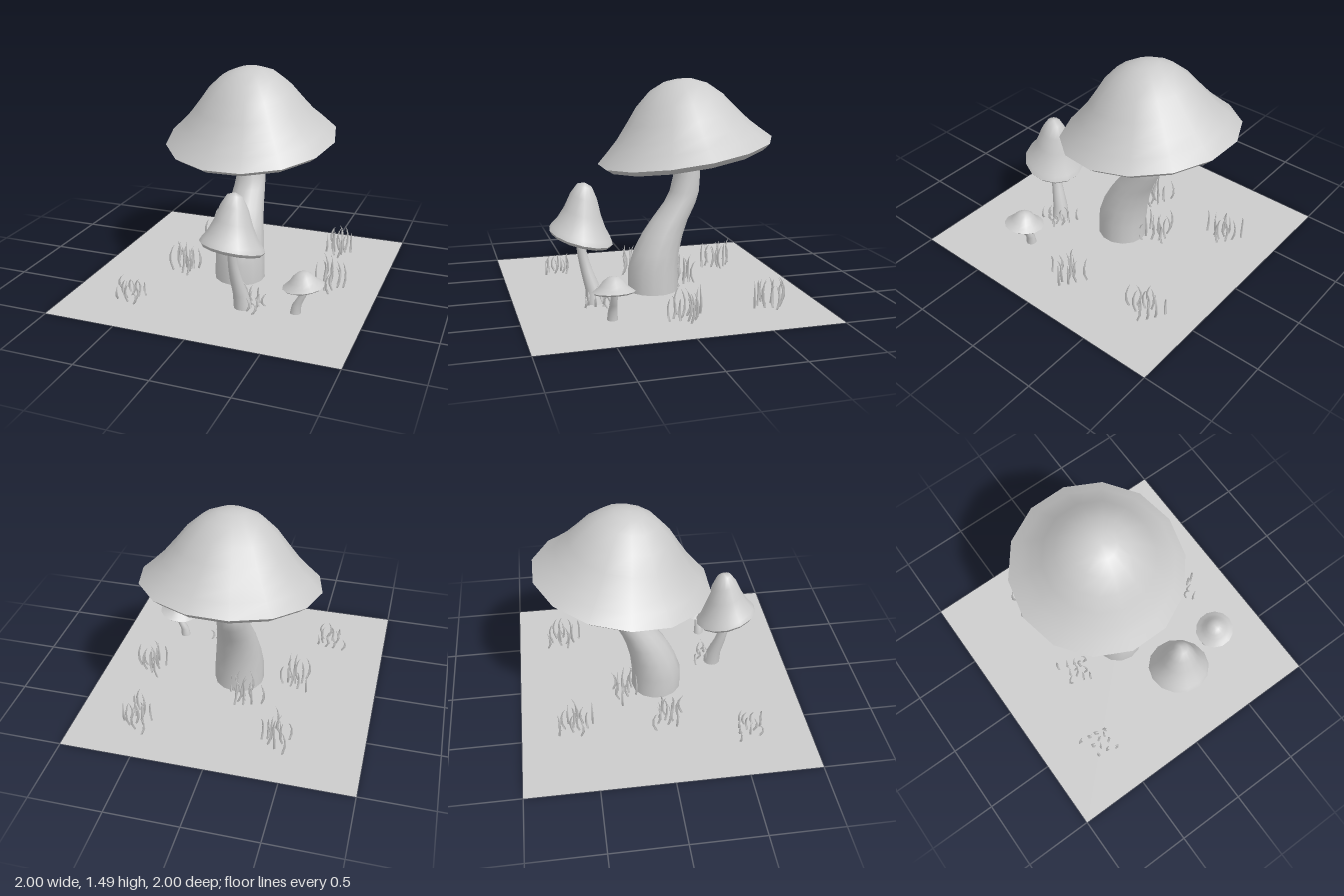
import * as THREE from 'three';
import { mergeVertices, mergeGeometries } from 'three/addons/utils/BufferGeometryUtils.js';

const grey = new THREE.MeshStandardMaterial({ color: 0xcccccc });
const greyDouble = new THREE.MeshStandardMaterial({ color: 0xcccccc, side: THREE.DoubleSide });

// Skin over horizontal rings [x, y, z, radius], listed from bottom to top
function loft(rings, sides, phase = 0) {
  const pos = [], idx = [];
  rings.forEach(([x, y, z, r], k) => {
    for (let i = 0; i < sides; i++) {
      const a = phase + (i / sides) * Math.PI * 2;
      pos.push(x + r * Math.sin(a), y, z + r * Math.cos(a));
      if (k === 0) continue;
      const j = (i + 1) % sides, lo = (k - 1) * sides, hi = k * sides;
      idx.push(lo + i, lo + j, hi + j, lo + i, hi + j, hi + i);
    }
  });
  const geo = new THREE.BufferGeometry();
  geo.setAttribute('position', new THREE.Float32BufferAttribute(pos, 3));
  geo.setIndex(idx);
  return geo;
}

function mesh(name, geo, material = grey) {
  const m = new THREE.Mesh(geo, material);
  m.name = name;
  return m;
}

// Cap surface from a [radius, height] profile, with a tilted rim and a leaning axis
function capSurface(profile, { center, slope, lean, phase }) {
  const flat = loft(profile.map(([r, h]) => [0, h, 0, r]), 14, phase);
  const p = flat.attributes.position;
  for (let i = 0; i < p.count; i++) {
    const x = p.getX(i), h = p.getY(i), z = p.getZ(i);
    p.setXYZ(i, center[0] + x + lean[0] * h,
      center[1] + h + slope[0] * x + slope[1] * z,
      center[2] + z + lean[1] * h);
  }
  const geo = mergeVertices(flat);
  geo.computeVertexNormals();
  return geo;
}

function mushroom(name, { stem, top, under, ...cap }) {
  const g = new THREE.Group();
  g.name = name;
  const stemGeo = loft(stem, 14);
  stemGeo.computeVertexNormals();
  g.add(mesh('stem', stemGeo));
  g.add(mesh('capTop', capSurface(top, cap)));
  g.add(mesh('capUnderside', capSurface(under, cap)));
  return g;
}

// Small seeded generator for the grass
function seeded(seed) {
  return () => (seed = (seed * 16807) % 2147483647) / 2147483647;
}

// Blade places inside one clump
const bladeSpots = [
  [-0.07, -0.12], [-0.01, -0.08], [0.04, -0.05], [0.09, -0.01], [0.05, 0.0], [0, -0.02],
  [-0.05, -0.02], [-0.09, 0.03], [-0.02, 0.08], [0.02, 0.12], [-0.03, 0.02], [0.03, 0.05],
];

// Tapered, bowed blades with a three-sided section
function grassClump(x, z, height, turn, rand) {
  const blades = bladeSpots.map(([bx, bz]) => {
    const px = x + bx * Math.cos(turn) + bz * Math.sin(turn);
    const pz = z - bx * Math.sin(turn) + bz * Math.cos(turn);
    const h = height * (0.75 + 0.25 * rand());
    const dir = rand() * Math.PI * 2, bow = 0.02 + 0.01 * rand();
    const rings = [[0, 0, 0.009], [0.3, 0.75, 0.01], [0.6, 0.8, 0.008], [0.85, 0.3, 0.005], [1, -0.3, 0.001]]
      .map(([t, b, r]) => [px + b * bow * Math.cos(dir), t * h, pz + b * bow * Math.sin(dir), r]);
    return loft(rings, 3, dir);
  });
  const geo = mergeGeometries(blades);
  geo.computeVertexNormals();
  return mesh('grassClump', geo, greyDouble);
}

export function createModel() {
  const model = new THREE.Group();
  model.name = 'mushroomPatch';

  const ground = mesh('ground', new THREE.PlaneGeometry(2, 2), greyDouble);
  ground.rotation.x = -Math.PI / 2;
  model.add(ground);

  model.add(mushroom('largeMushroom', {
    stem: [
      [0, 0, 0, 0.18], [0, 0.15, 0, 0.177], [0, 0.28, -0.027, 0.162], [0, 0.4, -0.072, 0.145],
      [0, 0.5, -0.125, 0.128], [0, 0.62, -0.2, 0.112], [0, 0.7, -0.232, 0.104],
      [0, 0.82, -0.25, 0.094], [0, 1.0, -0.25, 0.085],
    ],
    top: [[0.61, 0.01], [0.53, 0.085], [0.46, 0.155], [0.38, 0.255], [0.3, 0.36], [0.2, 0.45], [0.1, 0.495], [0, 0.508]],
    under: [[0, -0.06], [0.35, -0.05], [0.56, -0.03], [0.61, 0.01]],
    center: [0, 0.98, -0.235], slope: [0.015, -0.155], lean: [0, 0.12], phase: Math.PI / 14,
  }));

  model.add(mushroom('mediumMushroom', {
    stem: [
      [0.19, 0, 0.46, 0.062], [0.178, 0.1, 0.472, 0.052], [0.158, 0.22, 0.508, 0.041],
      [0.148, 0.32, 0.532, 0.034], [0.147, 0.4, 0.545, 0.031], [0.146, 0.5, 0.545, 0.03],
    ],
    top: [[0.215, 0], [0.2, 0.03], [0.165, 0.08], [0.125, 0.165], [0.09, 0.27], [0.05, 0.342], [0, 0.363]],
    under: [[0, -0.04], [0.13, -0.035], [0.2, -0.022], [0.215, 0]],
    center: [0.145, 0.465, 0.54], slope: [-0.12, 0.25], lean: [0.03, -0.08], phase: 0.1,
  }));

  model.add(mushroom('smallMushroom', {
    stem: [
      [0.545, 0, 0.42, 0.036], [0.553, 0.06, 0.42, 0.031], [0.58, 0.11, 0.42, 0.026],
      [0.605, 0.16, 0.42, 0.022], [0.618, 0.22, 0.42, 0.02],
    ],
    top: [[0.14, 0], [0.115, 0.018], [0.09, 0.038], [0.065, 0.07], [0.035, 0.092], [0, 0.1]],
    under: [[0, -0.015], [0.08, -0.013], [0.128, -0.01], [0.14, 0]],
    center: [0.597, 0.206, 0.423], slope: [0.145, 0], lean: [-0.1, 0], phase: Math.PI / 14,
  }));

  // Grass clumps: x, z, blade height, turn
  const rand = seeded(41);
  [
    [0.57, -0.66, 0.2, 0], [0.66, -0.04, 0.2, 0], [-0.58, 0.58, 0.13, 0.4], [-0.4, -0.62, 0.2, 0],
    [-0.41, 0.03, 0.2, 0.3], [-0.09, -0.25, 0.2, 0.9], [0.24, 0.43, 0.12, 0.2],
  ].forEach(([x, z, h, turn]) => model.add(grassClump(x, z, h, turn, rand)));

  return model;
}
